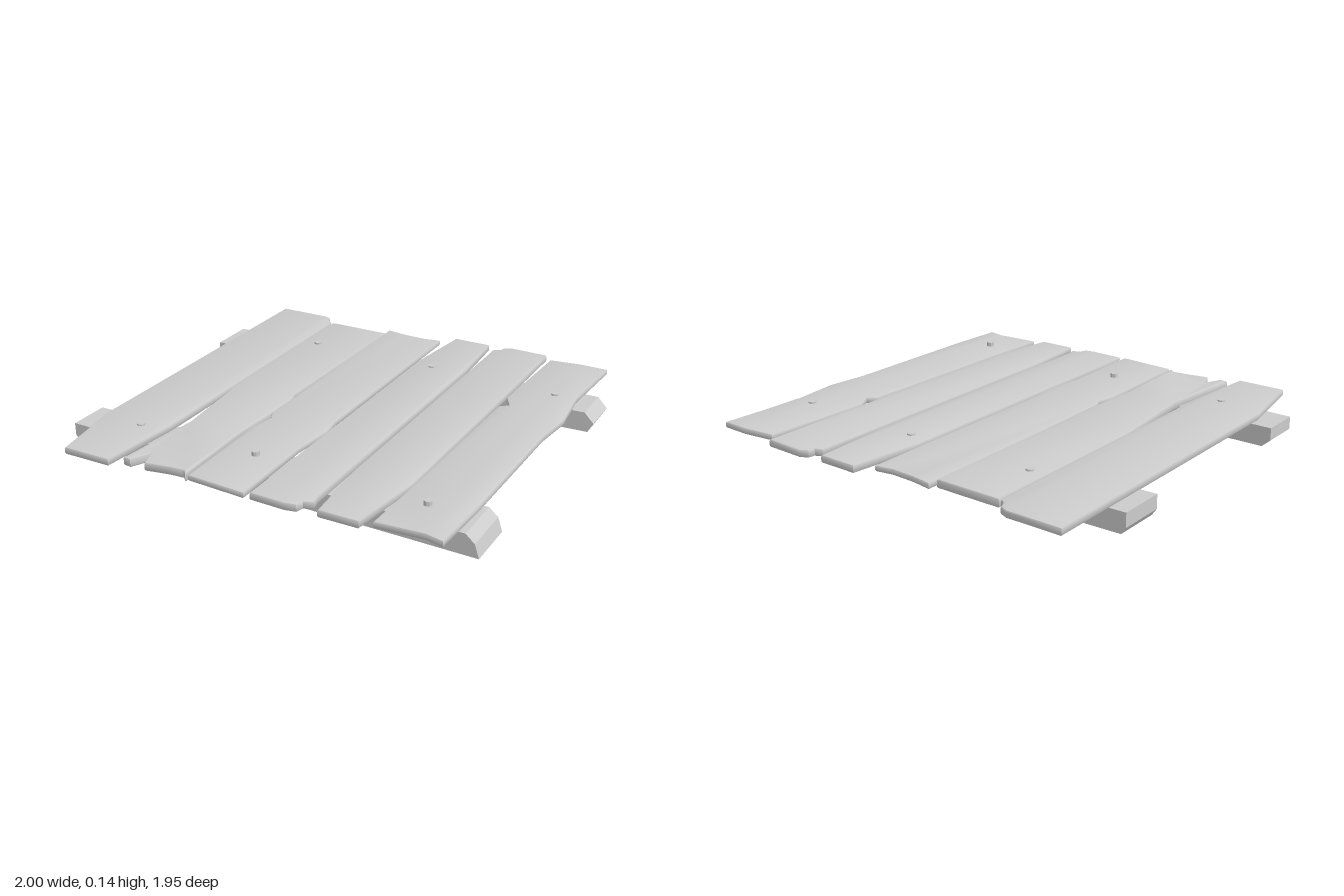
import * as THREE from 'three';
import { toCreasedNormals } from 'three/addons/utils/BufferGeometryUtils.js';

const material = new THREE.MeshStandardMaterial({ color: 0xcccccc });
const flatMaterial = new THREE.MeshStandardMaterial({ color: 0xcccccc, flatShading: true });

// Weathered board cut from an (x, z) outline, with softly worn edges
function makePlank(name, outline, bottom, top) {
  const shape = new THREE.Shape(outline.map(([x, z]) => new THREE.Vector2(x, -z)));
  const bevel = 0.008;
  const geometry = new THREE.ExtrudeGeometry(shape, {
    depth: top - bottom - 2 * bevel,
    bevelThickness: bevel, bevelSize: 0.01, bevelOffset: -0.01, bevelSegments: 2,
  });
  geometry.rotateX(-Math.PI / 2);
  geometry.translate(0, bottom + bevel, 0);
  const mesh = new THREE.Mesh(toCreasedNormals(geometry, 0.6), material);
  mesh.name = name;
  return mesh;
}

// Cross rail from an (x, y) side profile; its z range slides from the left to the right end
function makeRail(name, profile, zStart, zEnd) {
  const shape = new THREE.Shape(profile.map(([x, y]) => new THREE.Vector2(x, y)));
  const geometry = new THREE.ExtrudeGeometry(shape, { depth: 1, bevelEnabled: false });
  const p = geometry.attributes.position;
  for (let i = 0; i < p.count; i++) {
    const t = (p.getX(i) + 1) / 2;
    const back = THREE.MathUtils.lerp(zStart[0], zEnd[0], t);
    const front = THREE.MathUtils.lerp(zStart[1], zEnd[1], t);
    p.setZ(i, THREE.MathUtils.lerp(back, front, p.getZ(i)));
  }
  geometry.computeVertexNormals();
  const mesh = new THREE.Mesh(geometry, flatMaterial);
  mesh.name = name;
  return mesh;
}

export function createModel() {
  const group = new THREE.Group();
  group.name = 'plankPlatform';

  // Cross rails with chipped ends
  group.add(makeRail('frontRail',
    [[-0.96, 0], [0.97, 0], [0.95, 0.06], [0.91, 0.094], [-1, 0.094], [-1, 0.035]],
    [0.53, 0.72], [0.53, 0.76]));
  group.add(makeRail('backRail',
    [[-0.96, 0], [0.975, 0], [1, 0.045], [0.955, 0.094], [-0.98, 0.094], [-0.98, 0.03]],
    [-0.61, -0.39], [-0.675, -0.48]));

  // Six boards from right (-x) to left (+x): outline, underside, top
  const planks = [
    [[[-0.905, -0.92], [-0.65, -0.92], [-0.615, -0.905], [-0.6, -0.87], [-0.578, -0.855],
      [-0.575, 0.58], [-0.61, 0.97], [-0.84, 0.97], [-0.905, 0.6]], 0.09, 0.125],
    [[[-0.567, -0.855], [-0.257, -0.855], [-0.27, 0.04], [-0.255, 0.08], [-0.258, 0.25],
      [-0.272, 0.5], [-0.255, 0.92], [-0.28, 0.895], [-0.35, 0.9], [-0.46, 0.92], [-0.49, 0.84],
      [-0.53, 0.925], [-0.567, 0.92], [-0.525, 0.5], [-0.57, 0.05]], 0.083, 0.124],
    [[[-0.258, -0.905], [-0.16, -0.89], [-0.05, -0.885], [0.037, -0.9], [0.037, 0.2],
      [0.053, 0.3], [0.03, 0.5], [0.037, 0.937], [-0.24, 0.92], [-0.255, 0.4], [-0.235, 0.3],
      [-0.255, 0.26]], 0.094, 0.123],
    [[[0.1, -0.96], [0.285, -0.96], [0.31, -0.6], [0.31, 0.82], [0.32, 0.87], [0.28, 0.885],
      [0.27, 0.92], [0.22, 0.93], [0.058, 0.925], [0.058, -0.6]], 0.088, 0.125],
    [[[0.327, -0.91], [0.36, -0.925], [0.365, -0.955], [0.4, -0.975], [0.59, -0.97],
      [0.59, 0.55], [0.54, 0.915], [0.36, 0.915], [0.33, 0.58]], 0.088, 0.125],
    [[[0.625, -0.925], [0.78, -0.945], [0.91, -0.942], [0.89, -0.55], [0.917, -0.3],
      [0.895, -0.1], [0.892, 0.6], [0.88, 0.893], [0.8, 0.875], [0.588, 0.89], [0.595, 0.6],
      [0.608, -0.3], [0.645, -0.33], [0.605, -0.4]], 0.093, 0.124],
  ];
  planks.forEach(([outline, bottom, top], i) =>
    group.add(makePlank(`plank${i + 1}`, outline, bottom, top)));

  // Nail heads: x, z, top height
  const nails = [[-0.69, 0.64, 0.132], [-0.49, -0.56, 0.132], [-0.095, 0.64, 0.143],
    [0.15, -0.56, 0.132], [0.79, -0.535, 0.132], [0.715, 0.675, 0.145]];
  nails.forEach(([x, z, top], i) => {
    const nail = new THREE.Mesh(new THREE.CylinderGeometry(0.018, 0.018, top - 0.11, 8), flatMaterial);
    nail.position.set(x, (top + 0.11) / 2, z);
    nail.name = `nail${i + 1}`;
    group.add(nail);
  });
  return group;
}
